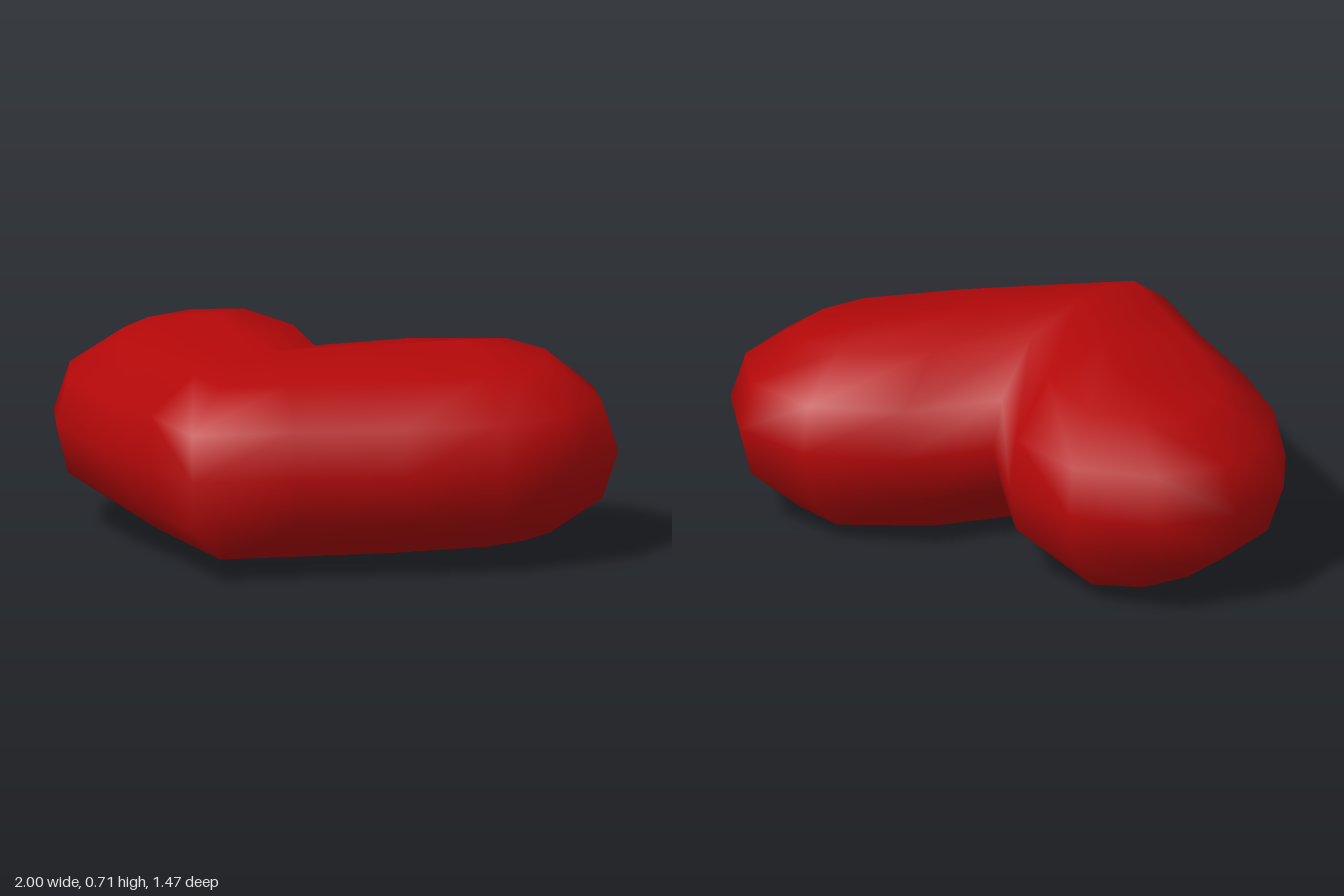
import * as THREE from 'three';
import { mergeVertices } from 'three/addons/utils/BufferGeometryUtils.js';

// Ridge points shared by the outer and inner side of each lobe
const TIP = [0, 0.19];
const MIDDLE = [0.235, -0.055];
const LOBE = [0.47, -0.3];

// Half outline from the front tip to the back notch:
// rim x, rim z, ridge point, fullness of the edge, shoulder height above the rim
const HALF = [
  [0, 0.73, TIP, 1.12, 0.296],
  [0.29, 0.52, TIP, 1.08, 0.296],
  [0.6, 0.32, MIDDLE, 1.05, 0.296],
  [0.86, 0.11, LOBE, 1.03, 0.292],
  [1, -0.13, LOBE, 1, 0.288],
  [1, -0.43, LOBE, 1, 0.292],
  [0.825, -0.66, LOBE, 1.02, 0.304],
  [0.525, -0.74, LOBE, 1.03, 0.314],
  [0.22, -0.625, MIDDLE, 1.03, 0.318],
  [0, -0.37, TIP, 1, 0.318],
];
const RIM_Y = 0.354;
const ROWS = 7;

// Points of one column from the bottom ridge over the rim to the top ridge
function columnPoints([x, z, [rx, rz], fullness, shoulder], side) {
  const upper = [[0.165, 0.9 * fullness], [shoulder, 0.57 * fullness], [0.353, 0]];
  const lower = upper.map(([h, f]) => [-h, f]).reverse();
  return [...lower, [0, 1], ...upper].flatMap(([h, f]) => [
    side * (rx + (x - rx) * f), RIM_Y + h, rz + (z - rz) * f,
  ]);
}

function heartGeometry() {
  const left = HALF.map((c) => columnPoints(c, 1));
  const right = HALF.slice(1, -1).reverse().map((c) => columnPoints(c, -1));
  const columns = [...left, ...right];

  const indices = [];
  for (let i = 0; i < columns.length; i++) {
    for (let j = 0; j < ROWS - 1; j++) {
      const a = i * ROWS + j;
      const b = ((i + 1) % columns.length) * ROWS + j;
      // Mirror the diagonal on the right half
      if (i < HALF.length - 1) indices.push(a, b, b + 1, a, b + 1, a + 1);
      else indices.push(a, b, a + 1, b, b + 1, a + 1);
    }
  }

  const geometry = new THREE.BufferGeometry();
  geometry.setAttribute('position', new THREE.Float32BufferAttribute(columns.flat(), 3));
  geometry.setIndex(indices);
  // Weld the ridge so the shading runs smoothly over it
  const welded = mergeVertices(geometry, 1e-4);
  welded.computeVertexNormals();
  return welded;
}

export function createModel() {
  const red = new THREE.MeshStandardMaterial({ color: 0xb40809 });
  red.name = 'heart red';

  const heart = new THREE.Mesh(heartGeometry(), red);
  heart.name = 'heart';

  const model = new THREE.Group();
  model.name = 'heartModel';
  model.add(heart);
  return model;
}
